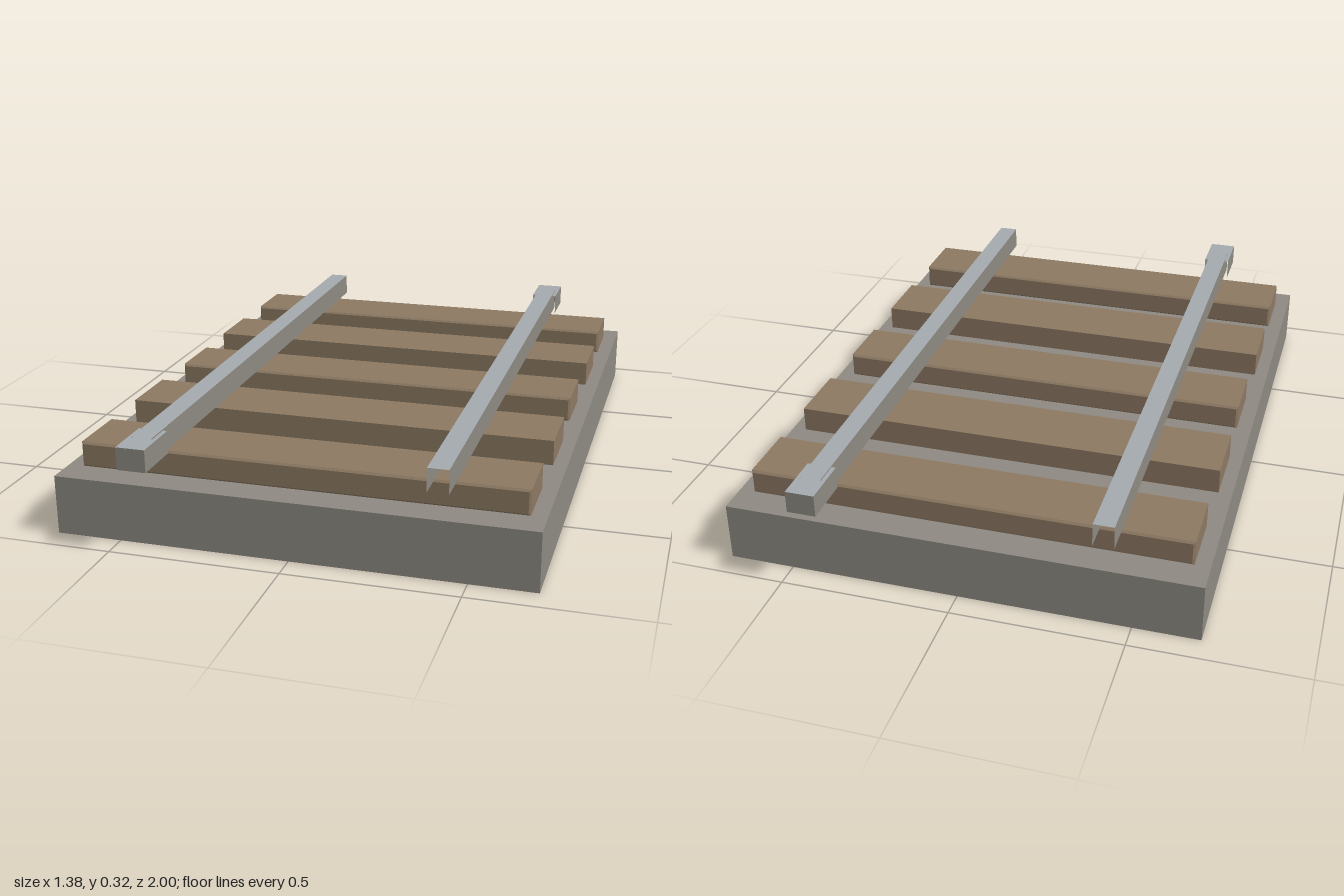
import * as THREE from 'three';

// Box without the skipped faces (0:+x 1:-x 2:+y 3:-y 4:+z 5:-z); the top face uses material 1
function openBox(w, h, d, skip) {
  const g = new THREE.BoxGeometry(w, h, d);
  const source = Array.from(g.index.array);
  const index = [];
  g.clearGroups();
  for (let face = 0; face < 6; face++) {
    if (skip.includes(face)) continue;
    g.addGroup(index.length, 6, face === 2 ? 1 : 0);
    index.push(...source.slice(face * 6, face * 6 + 6));
  }
  g.setIndex(index);
  return g;
}

// Box with a small chamfer on every edge
function chamferedBox(w, h, d, c) {
  const x = w / 2 - c, y = h / 2 - c;
  const shape = new THREE.Shape([
    new THREE.Vector2(-x, -y), new THREE.Vector2(x, -y),
    new THREE.Vector2(x, y), new THREE.Vector2(-x, y),
  ]);
  const g = new THREE.ExtrudeGeometry(shape, {
    depth: d - 2 * c, bevelEnabled: true, bevelSize: c, bevelThickness: c, bevelSegments: 1,
  });
  return g.translate(0, 0, c - d / 2);
}

export function createModel() {
  const model = new THREE.Group();
  model.name = 'railwayTrack';

  const stone = new THREE.MeshStandardMaterial({ name: 'stoneGrey', color: 0x8d8982, side: THREE.DoubleSide });
  const steel = new THREE.MeshStandardMaterial({ name: 'steelGrey', color: 0xa4a9ae, side: THREE.DoubleSide });
  const wood = new THREE.MeshStandardMaterial({ name: 'sleeperBrown', color: 0x8b7862 });

  function add(name, geometry, material, x, y, z, parent = model) {
    const mesh = new THREE.Mesh(geometry, material);
    mesh.name = name;
    mesh.position.set(x, y, z);
    parent.add(mesh);
    return mesh;
  }

  // Hollow ballast bed, open underneath
  add('ballastBed', openBox(1.385, 0.175, 1.85, [3]), [stone, stone], 0, 0.0875, 0);

  // Five sleepers; every other one has chamfered edges
  for (let i = 0; i < 5; i++) {
    const geometry = i % 2 === 0
      ? chamferedBox(1.295, 0.075, 0.2, 0.006)
      : new THREE.BoxGeometry(1.304, 0.075, 0.204);
    add('sleeper' + (i + 1), geometry, wood, 0, 0.2125, (i - 2) * 0.369);
  }

  // Two hollow rails, each with a joint at one end, turned half round from each other
  for (const [name, turn] of [['rightRail', 0], ['leftRail', Math.PI]]) {
    const rail = new THREE.Group();
    rail.name = name;
    rail.rotation.y = turn;
    add('railBar', openBox(0.06, 0.07, 1.85, [3, 4, 5]), [stone, steel], -0.416, 0.285, 0, rail);
    add('railJoint', openBox(0.085, 0.066, 0.15, [3, 5]), [stone, steel], -0.416, 0.283, 0.925, rail);
    model.add(rail);
  }

  return model;
}
